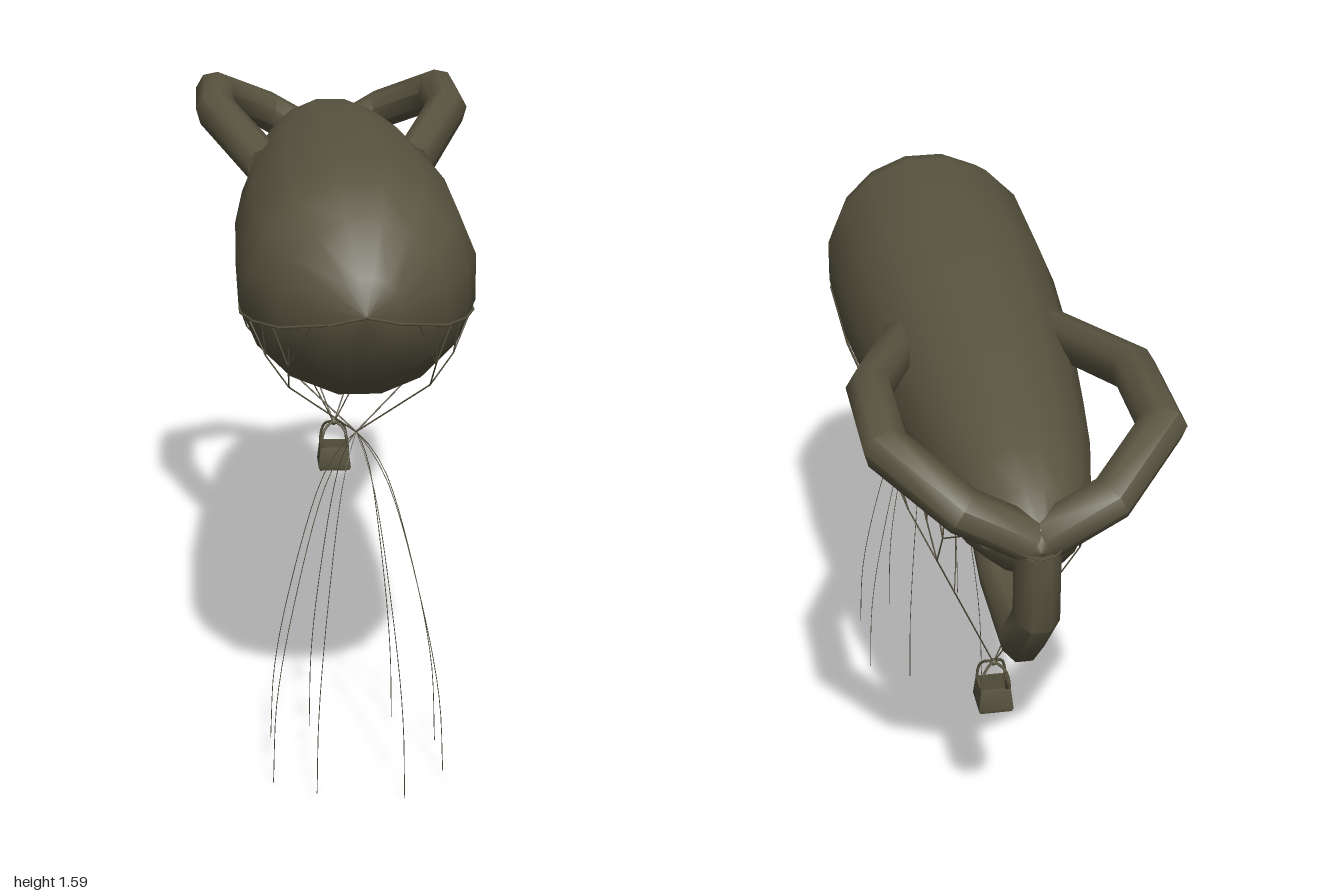
import * as THREE from 'three';
import { mergeGeometries, toCreasedNormals } from 'three/addons/utils/BufferGeometryUtils.js';

const AXIS_Y = 1.3; // height of the envelope's centre line
const V = (x, y, z) => new THREE.Vector3(x, y, z);

// Envelope radius along z, tail to nose
const PROFILE = [
  [0, -0.97], [0.05, -0.95], [0.12, -0.87], [0.165, -0.75], [0.205, -0.56], [0.232, -0.36], [0.268, -0.06],
  [0.293, 0.3], [0.293, 0.65], [0.265, 0.75], [0.203, 0.87], [0.088, 0.965], [0, 0.992],
];

function hullRadius(z) {
  for (let i = 1; i < PROFILE.length; i++) {
    const [r0, z0] = PROFILE[i - 1], [r1, z1] = PROFILE[i];
    if (z >= z0 && z <= z1) return r0 + (r1 - r0) * (z - z0) / (z1 - z0);
  }
  return 0;
}

// Point on the rigging belt, a line low on the envelope's flank
function beltPoint(z, side) {
  const r = hullRadius(z) + 0.001, a = 0.277;
  return V(side * r * Math.cos(a), AXIS_Y - r * Math.sin(a), z);
}

// Straight rope pieces through a list of points
function rope(points, radius) {
  const parts = [];
  for (let i = 1; i < points.length; i++) {
    const dir = points[i].clone().sub(points[i - 1]);
    const g = new THREE.CylinderGeometry(radius, radius, dir.length(), 5);
    g.applyQuaternion(new THREE.Quaternion().setFromUnitVectors(V(0, 1, 0), dir.clone().normalize()));
    const mid = points[i].clone().add(points[i - 1]).multiplyScalar(0.5);
    parts.push(g.translate(mid.x, mid.y, mid.z));
  }
  return parts;
}

// Mitred tube along a polyline of [x, z] points, with capped ends
function mitredTube(path, radius, sides) {
  const pos = [], index = [], last = path.length - 1;
  const pts = path.map(([x, z]) => new THREE.Vector2(x, z));
  pts.forEach((p, i) => {
    const a = pts[Math.min(i + 1, last)].clone().sub(pts[Math.min(i, last - 1)]).normalize();
    const b = pts[Math.max(i, 1)].clone().sub(pts[Math.max(i - 1, 0)]).normalize();
    const t = a.clone().add(b).normalize();
    const stretch = radius / t.dot(a);
    for (let j = 0; j < sides; j++) {
      const ang = (j + 0.5) / sides * Math.PI * 2;
      const n = Math.cos(ang) * stretch;
      pos.push(p.x - t.y * n, -Math.sin(ang) * radius, p.y + t.x * n);
    }
  });
  for (let i = 0; i < last; i++) {
    for (let j = 0; j < sides; j++) {
      const a = i * sides + j, b = i * sides + (j + 1) % sides;
      index.push(a, b, b + sides, a, b + sides, a + sides);
    }
  }
  for (let j = 1; j < sides - 1; j++) {
    const e = last * sides;
    index.push(0, j + 1, j, e, e + j, e + j + 1);
  }
  const g = new THREE.BufferGeometry();
  g.setAttribute('position', new THREE.Float32BufferAttribute(pos, 3));
  g.setIndex(index);
  return toCreasedNormals(g, 0.9);
}

export function createModel() {
  const model = new THREE.Group();
  const olive = new THREE.MeshStandardMaterial({ color: 0x5a5541 });
  olive.name = 'olive';
  const add = (name, geometry) => {
    const mesh = new THREE.Mesh(geometry, olive);
    mesh.name = name;
    model.add(mesh);
    return mesh;
  };

  // Envelope
  const hull = new THREE.LatheGeometry(PROFILE.map(([r, z]) => new THREE.Vector2(r, z)), 16, Math.PI / 16);
  hull.rotateX(Math.PI / 2);
  add('envelope', hull).position.y = AXIS_Y;

  // Three looped tail fins, evenly spaced around the axis
  const fin = mitredTube([[0.225, -0.09], [0.375, -0.47], [0.375, -0.76], [0.2, -0.917], [0.02, -0.917]], 0.057, 8);
  ['leftFin', 'rightFin', 'lowerFin'].forEach((name, i) => {
    const mesh = add(name, fin);
    mesh.position.y = AXIS_Y;
    mesh.rotation.z = [Math.PI / 6, Math.PI * 5 / 6, -Math.PI / 2][i];
  });

  // Belt around the envelope that carries the rigging
  const belt = [];
  for (const s of [-1, 1]) {
    const pts = PROFILE.map(([, z]) => beltPoint(z, s));
    pts[0].z -= 0.02;
    belt.push(...rope(pts, 0.0035));
  }
  add('riggingBelt', mergeGeometries(belt));

  // Small loop at the tail
  const loop = new THREE.TorusGeometry(0.05, 0.003, 5, 12, Math.PI);
  loop.rotateX(-Math.PI / 2).translate(0, AXIS_Y, -0.945);
  add('tailLoop', loop);

  // Bridles: trunk node, main knot, then smaller knots fanning out to the belt
  const frontNode = V(0, 0.9, 0.62), rearNode = V(0, 0.59, -0.375);
  const bridles = [
    { node: frontNode, knot: [0.17, 1.06, 0.75], fans: [[[0.175, 1.14, 0.84], [0.93, 0.89, 0.84]], [[0.225, 1.14, 0.75], [0.79, 0.72]]] },
    { node: frontNode, knot: [0.21, 1.08, 0.51], fans: [[[0.265, 1.15, 0.53], [0.6, 0.54]], [[0.268, 1.16, 0.42], [0.46, 0.4, 0.31]]] },
    { node: rearNode, knot: [0.21, 1.04, -0.3], fans: [[[0.255, 1.14, -0.14], [0, -0.09, -0.16]], [[0.235, 1.14, -0.27], [-0.22, -0.29, -0.35]]] },
    { node: rearNode, knot: [0.18, 1.05, -0.57], fans: [[[0.2, 1.15, -0.54], [-0.43, -0.5, -0.56]], [[0.18, 1.17, -0.66], [-0.61, -0.67, -0.8]]] },
  ];
  const rigging = [];
  for (const s of [-1, 1]) {
    for (const { node, knot, fans } of bridles) {
      const k = V(s * knot[0], knot[1], knot[2]);
      rigging.push(...rope([node, k], 0.002));
      for (const [p, ends] of fans) {
        const q = V(s * p[0], p[1], p[2]);
        rigging.push(...rope([k, q], 0.002));
        for (const z of ends) rigging.push(...rope([q, beltPoint(z, s)], 0.002));
      }
    }
  }
  add('bridles', mergeGeometries(rigging));

  // Slack line from the belly to the basket rigging
  const slack = new THREE.QuadraticBezierCurve3(V(0, 1.01, 0.38), V(0.03, 0.84, -0.02), V(0.098, 0.8, -0.34));
  add('slackLine', new THREE.TubeGeometry(slack, 16, 0.0015, 5));

  // Eight handling lines trailing from the front node
  const lines = [];
  for (let i = 0; i < 8; i++) {
    const a = (Math.floor(i / 2) * 90 + (i % 2 ? 63 : 27)) * Math.PI / 180;
    const curve = new THREE.CatmullRomCurve3(
      [[0, 0.9], [0.037, 0.86], [0.09, 0.77], [0.18, 0.47], [0.23, 0.22], [0.242, i % 2 ? 0.02 : 0]]
        .map(([r, y]) => V(Math.sin(a) * r, y, 0.62 + Math.cos(a) * r)));
    lines.push(new THREE.TubeGeometry(curve, 18, 0.001, 4));
  }
  add('handlingLines', mergeGeometries(lines));

  // Open basket
  const outline = [[0, 0.457], [0.06, 0.457], [0.066, 0.468], [0.057, 0.525], [0.051, 0.525], [0.056, 0.475], [0, 0.475]];
  const basket = new THREE.LatheGeometry(outline.map(([r, y]) => new THREE.Vector2(r, y)), 4, Math.PI / 4);
  add('basket', toCreasedNormals(basket, 0.5)).position.z = -0.375;

  // Basket hoops rising from the corners to the rear node
  const hoops = [];
  for (const sx of [-1, 1]) {
    for (const sz of [-1, 1]) {
      const pts = [[0.038, 0.5], [0.036, 0.55], [0.026, 0.58], [0, 0.595]];
      const curve = new THREE.CatmullRomCurve3(pts.map(([d, y]) => V(sx * d, y, -0.375 + sz * d * 0.9)));
      hoops.push(new THREE.TubeGeometry(curve, 8, 0.004, 5));
    }
  }
  hoops.push(new THREE.SphereGeometry(0.01, 8, 6).translate(0, 0.592, -0.375));
  add('basketHoops', mergeGeometries(hoops));

  return model;
}
